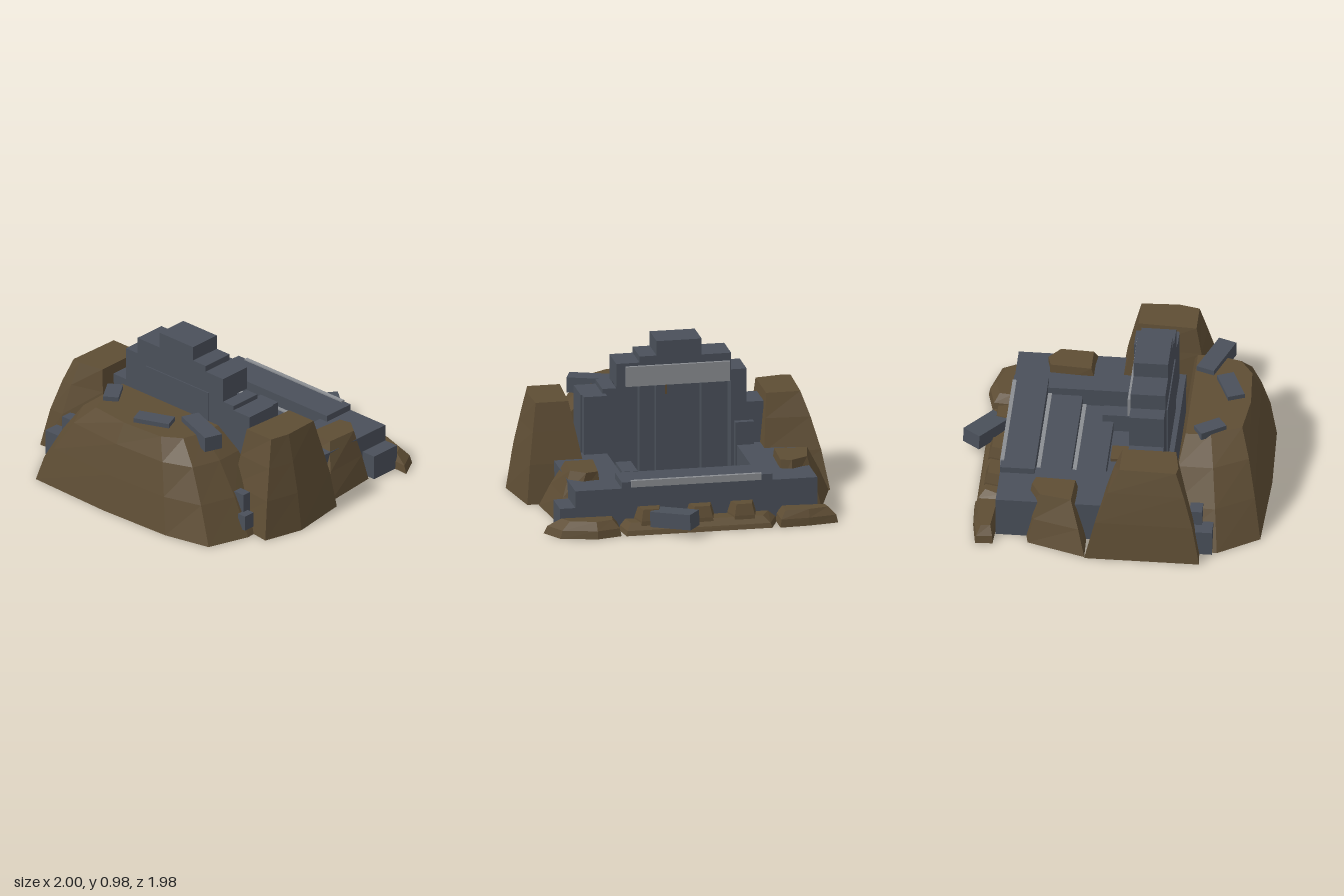
import * as THREE from 'three';

export function createModel() {
  const model = new THREE.Group();
  model.name = 'ruinedShrine';
  const paint = (name, color) => {
    const m = new THREE.MeshStandardMaterial({ color });
    m.name = name;
    return m;
  };
  const earth = paint('earth brown', 0x5e4d34);
  const slate = paint('slate grey', 0x4a505a);
  const trim = paint('pale trim', 0x8a8d92);

  const add = (name, geometry, material) => {
    const mesh = new THREE.Mesh(geometry, material);
    mesh.name = name;
    model.add(mesh);
    return mesh;
  };

  // Axis-aligned block given by its limits
  const block = (name, x0, x1, y0, y1, z0, z1, material = slate) => {
    const mesh = add(name, new THREE.BoxGeometry(x1 - x0, y1 - y0, z1 - z0), material);
    mesh.position.set((x0 + x1) / 2, (y0 + y1) / 2, (z0 + z1) / 2);
    return mesh;
  };

  // Turned loose slab
  const slab = (name, size, pos, ry, rz = 0) => {
    const mesh = add(name, new THREE.BoxGeometry(...size), slate);
    mesh.position.set(...pos);
    mesh.rotation.set(0, ry, rz);
  };

  // Faceted rock between a base and a top outline; steps are [height, blend] pairs
  const rock = (name, base, top, steps) => {
    const rings = steps.map(([y, t]) => base.map(([x, z], i) =>
      [x + (top[i][0] - x) * t, y, z + (top[i][1] - z) * t]));
    const pos = [];
    const n = base.length;
    for (let k = 0; k < rings.length - 1; k++) {
      for (let i = 0; i < n; i++) {
        const j = (i + 1) % n;
        const [a, b, c, d] = [rings[k][i], rings[k][j], rings[k + 1][j], rings[k + 1][i]];
        pos.push(...a, ...b, ...c, ...a, ...c, ...d);
      }
    }
    const last = rings[rings.length - 1];
    for (let i = 1; i < n - 1; i++) {
      pos.push(...last[0], ...last[i], ...last[i + 1]);
      pos.push(...rings[0][0], ...rings[0][i + 1], ...rings[0][i]);
    }
    const g = new THREE.BufferGeometry();
    g.setAttribute('position', new THREE.Float32BufferAttribute(pos, 3));
    g.computeVertexNormals();
    add(name, g, earth);
  };

  // Large mound and the two flanking boulders
  rock('mound',
    [[-0.85, 0.37], [-0.87, 0.7], [-0.7, 0.96], [-0.1, 0.98], [0.42, 0.96], [0.73, 0.89], [0.82, 0.62], [0.8, 0.37]],
    [[-0.42, 0.46], [-0.41, 0.62], [-0.32, 0.81], [-0.05, 0.84], [0.25, 0.82], [0.37, 0.74], [0.41, 0.6], [0.41, 0.46]],
    [[0, 0], [0.24, 0.3], [0.45, 0.63], [0.59, 1]]);
  const tall = (h) => [[0, 0], [0.25, 0.3], [0.45, 0.66], [h, 1]];
  rock('leftBoulder',
    [[0.54, -0.07], [0.56, 0.53], [0.93, 0.58], [1, 0.32], [0.94, -0.07]],
    [[0.65, 0.06], [0.63, 0.43], [0.84, 0.43], [0.87, 0.3], [0.86, 0.06]], tall(0.63));
  rock('rightBoulder',
    [[-1, -0.13], [-1, 0.6], [-0.88, 0.59], [-0.58, 0.46], [-0.58, -0.08]],
    [[-0.85, 0.08], [-0.86, 0.44], [-0.8, 0.45], [-0.63, 0.42], [-0.63, 0.08]], tall(0.6));

  // Smaller boulders beside the porch
  const low = [[0, 0], [0.16, 0.45], [0.325, 1]];
  rock('leftPorchRock',
    [[0.53, -0.5], [0.53, -0.14], [0.87, -0.09], [0.83, -0.48], [0.74, -0.52]],
    [[0.57, -0.49], [0.55, -0.23], [0.73, -0.23], [0.74, -0.44], [0.65, -0.51]], low);
  rock('rightPorchRock',
    [[-0.87, -0.5], [-0.99, -0.13], [-0.6, -0.14], [-0.6, -0.5], [-0.68, -0.54]],
    [[-0.79, -0.43], [-0.83, -0.23], [-0.62, -0.22], [-0.61, -0.47], [-0.68, -0.49]], low);

  // Rubble along the rear edge
  rock('rubbleRight',
    [[-0.91, -0.83], [-0.9, -0.72], [-0.53, -0.7], [-0.53, -0.87], [-0.72, -0.86]],
    [[-0.85, -0.8], [-0.84, -0.74], [-0.57, -0.72], [-0.57, -0.83], [-0.72, -0.83]],
    [[0, 0], [0.05, 0.2], [0.1, 1]]);
  rock('rubbleMiddle',
    [[-0.54, -0.71], [0.48, -0.71], [0.46, -0.86], [-0.48, -0.86]],
    [[-0.48, -0.71], [0.44, -0.71], [0.42, -0.8], [-0.43, -0.81]],
    [[0, 0], [0.03, 0.2], [0.07, 1]]);
  rock('rubbleLeft',
    [[0.49, -0.85], [0.48, -0.71], [0.96, -0.69], [0.88, -0.83], [0.65, -0.89]],
    [[0.54, -0.81], [0.53, -0.73], [0.85, -0.72], [0.81, -0.79], [0.65, -0.84]],
    [[0, 0], [0.05, 0.2], [0.1, 1]]);
  for (const x of [-0.31, -0.04, 0.29]) {
    rock('rubbleStone',
      [[x - 0.1, -0.71], [x + 0.1, -0.71], [x + 0.07, -0.83], [x - 0.07, -0.83]],
      [[x - 0.07, -0.72], [x + 0.07, -0.72], [x + 0.05, -0.8], [x - 0.05, -0.8]],
      [[0, 0], [0.08, 0.3], [0.15, 1]]);
  }
  slab('fallenBlock', [0.28, 0.1, 0.135], [0.15, 0.1, -0.86], -0.64, -0.05);

  // Porch: raised sides, lower outer step, sill beam
  block('porchSideRight', -0.8, -0.44, 0, 0.27, -0.71, 0.11);
  block('porchSideLeft', 0.4, 0.76, 0, 0.27, -0.71, 0.11);
  block('outerStep', 0.76, 0.86, 0, 0.16, -0.71, -0.5);
  block('sillBeam', -0.51, 0.46, 0.27, 0.31, -0.71, -0.49);
  block('sillBase', -0.44, 0.4, 0, 0.27, -0.71, -0.49);

  // Stairs leading down to the doorway, each with a pale edge
  [[-0.49, -0.27, 0.22], [-0.27, -0.06, 0.15], [-0.06, 0.09, 0.08]].forEach(([z0, z1, y], i) => {
    block('stair', -0.44, 0.4, 0, y, z0, z1);
    if (i < 2) block('stairEdge', -0.44, 0.4, y, y + 0.008, z0, z0 + 0.025, trim);
  });
  block('sillEdge', -0.44, 0.4, 0.275, 0.318, -0.715, -0.69, trim);
  block('stairStone', -0.08, 0.06, 0.08, 0.1, -0.05, 0.08, earth);
  block('stairRubble', 0.24, 0.34, 0.08, 0.2, -0.13, 0.09);

  // Broken wall: stepped columns, the central ones recessed below the lintel
  const columns = [
    [-0.62, -0.51, 0.54], [-0.51, -0.41, 0.76], [-0.41, -0.22, 0.87], [-0.22, 0.07, 0.975],
    [0.07, 0.18, 0.88], [0.18, 0.33, 0.84], [0.33, 0.42, 0.68], [0.42, 0.56, 0.65],
  ];
  columns.forEach(([x0, x1, h], i) => {
    const door = i > 1 && i < 6;
    block('wallColumn', x0, x1, door ? 0.69 : 0, h, 0.11, 0.33);
    if (door) block('doorPanel', x0 + 0.012, x1 - 0.012, 0, 0.69, i % 2 ? 0.19 : 0.17, 0.32);
  });
  block('doorBacking', -0.41, 0.33, 0, 0.69, 0.24, 0.33);
  block('doorCrack', -0.012, 0, 0.6, 0.69, 0.182, 0.19, earth);
  block('lintel', -0.4, 0.27, 0.69, 0.82, 0.09, 0.11, trim);
  block('rearPanel', -0.33, 0.21, 0.3, 0.7, 0.33, 0.338);
  block('wallPlinth', -0.58, 0.58, 0, 0.3, 0.3, 0.37);
  block('pillarLeft', 0.4, 0.55, 0.1, 0.65, 0.055, 0.11);
  block('pillarRight', -0.55, -0.43, 0.1, 0.42, 0.07, 0.11);

  // Loose slabs on the mound and blocks in the side gaps
  slab('moundSlab', [0.18, 0.05, 0.1], [-0.36, 0.595, 0.61], -0.98);
  slab('moundSlab', [0.24, 0.04, 0.11], [0.08, 0.6, 0.7], 0.39);
  slab('moundSlab', [0.33, 0.1, 0.12], [0.38, 0.575, 0.58], -0.35);
  block('gapBlock', -0.89, -0.77, 0, 0.17, 0.55, 0.67);
  block('gapBlock', -0.81, -0.71, 0.1, 0.27, 0.52, 0.6);
  block('gapBlock', 0.68, 0.76, 0.08, 0.27, 0.54, 0.6);
  block('gapBlock', 0.75, 0.81, 0.05, 0.15, 0.56, 0.64);

  return model;
}
